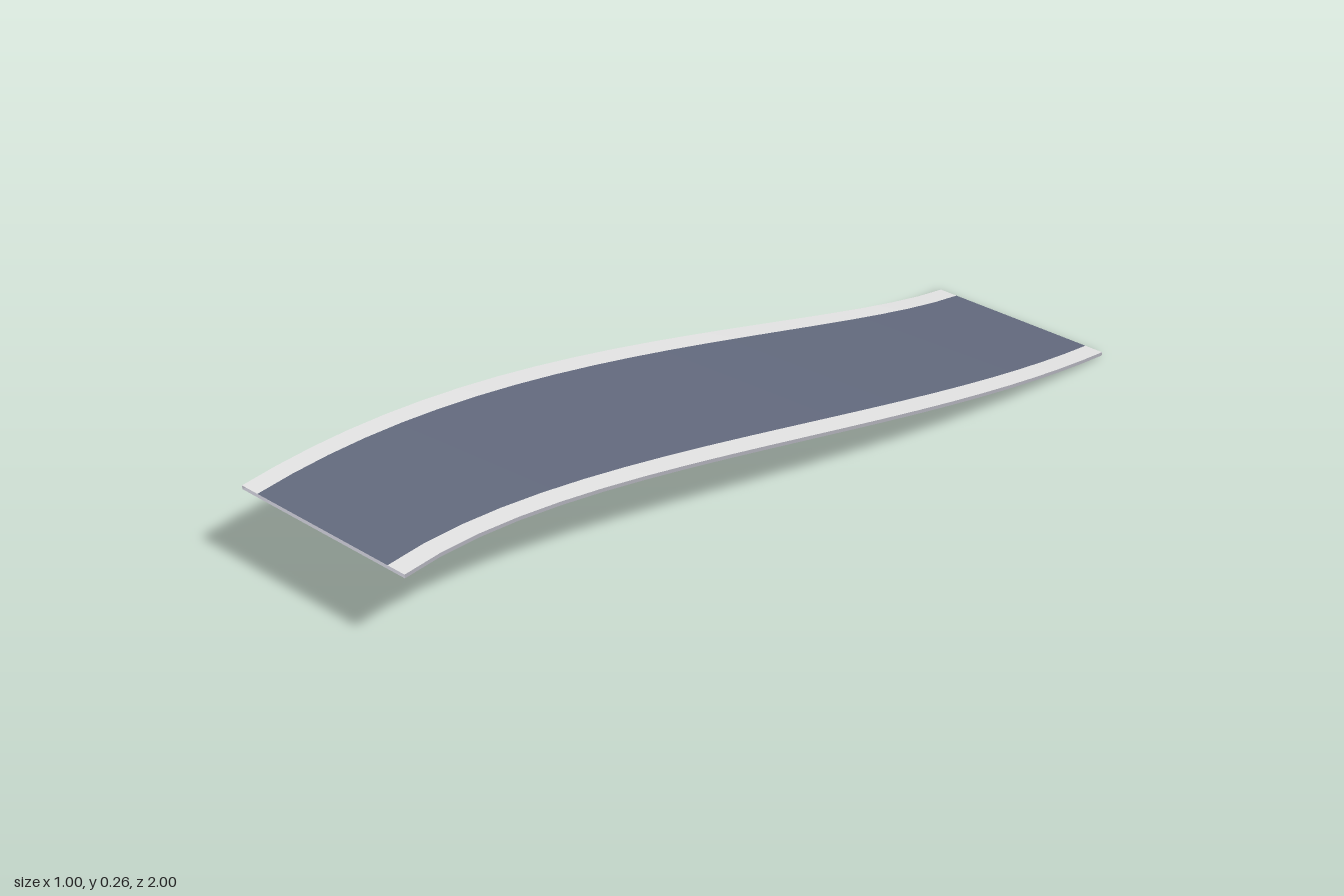
import * as THREE from 'three';

const SEGMENTS = 20;
const THICKNESS = 0.01;

// S-bend centre line and half width along z, and the curved slope
const centre = (z) => -0.375 * z + 0.125 * z ** 3;
const halfWidth = (z) => 0.25 + 0.047 * (1 - z * z) ** 2;
const slope = (z) => 0.25 * (1 - ((1 - z) / 2) ** 2);

// Sheet swept along the bend between two cross-section points [u, h]:
// u is across the road (-1..1), h is height above the slope
function sweep(from, to) {
  const positions = [];
  const index = [];
  for (let i = 0; i <= SEGMENTS; i++) {
    const z = 1 - (2 * i) / SEGMENTS;
    for (const [u, h] of [from, to]) {
      positions.push(centre(z) + u * halfWidth(z), slope(z) + h, z);
    }
    if (i < SEGMENTS) {
      const a = i * 2;
      index.push(a, a + 1, a + 3, a, a + 3, a + 2);
    }
  }
  const geometry = new THREE.BufferGeometry();
  geometry.setAttribute('position', new THREE.Float32BufferAttribute(positions, 3));
  geometry.setIndex(index);
  geometry.computeVertexNormals();
  return geometry;
}

export function createModel() {
  const material = (name, color) => {
    const m = new THREE.MeshStandardMaterial({ color, side: THREE.DoubleSide });
    m.name = name;
    return m;
  };
  const asphalt = material('asphalt', 0x636a7e);
  const border = material('border', 0xe4e4e4);
  const concrete = material('concrete', 0xaeaeb7);

  const group = new THREE.Group();
  group.name = 'slopedRoadBend';
  const add = (name, from, to, mat) => {
    const mesh = new THREE.Mesh(sweep(from, to), mat);
    mesh.name = name;
    group.add(mesh);
  };

  // flush top: road with a pale border on each side
  add('roadSurface', [-0.8, THICKNESS], [0.8, THICKNESS], asphalt);
  add('rightBorder', [-1, THICKNESS], [-0.8, THICKNESS], border);
  add('leftBorder', [0.8, THICKNESS], [1, THICKNESS], border);

  // thin body below, open at both ends
  add('leftSide', [1, THICKNESS], [1, 0], concrete);
  add('underside', [1, 0], [-1, 0], concrete);
  add('rightSide', [-1, 0], [-1, THICKNESS], concrete);
  return group;
}
